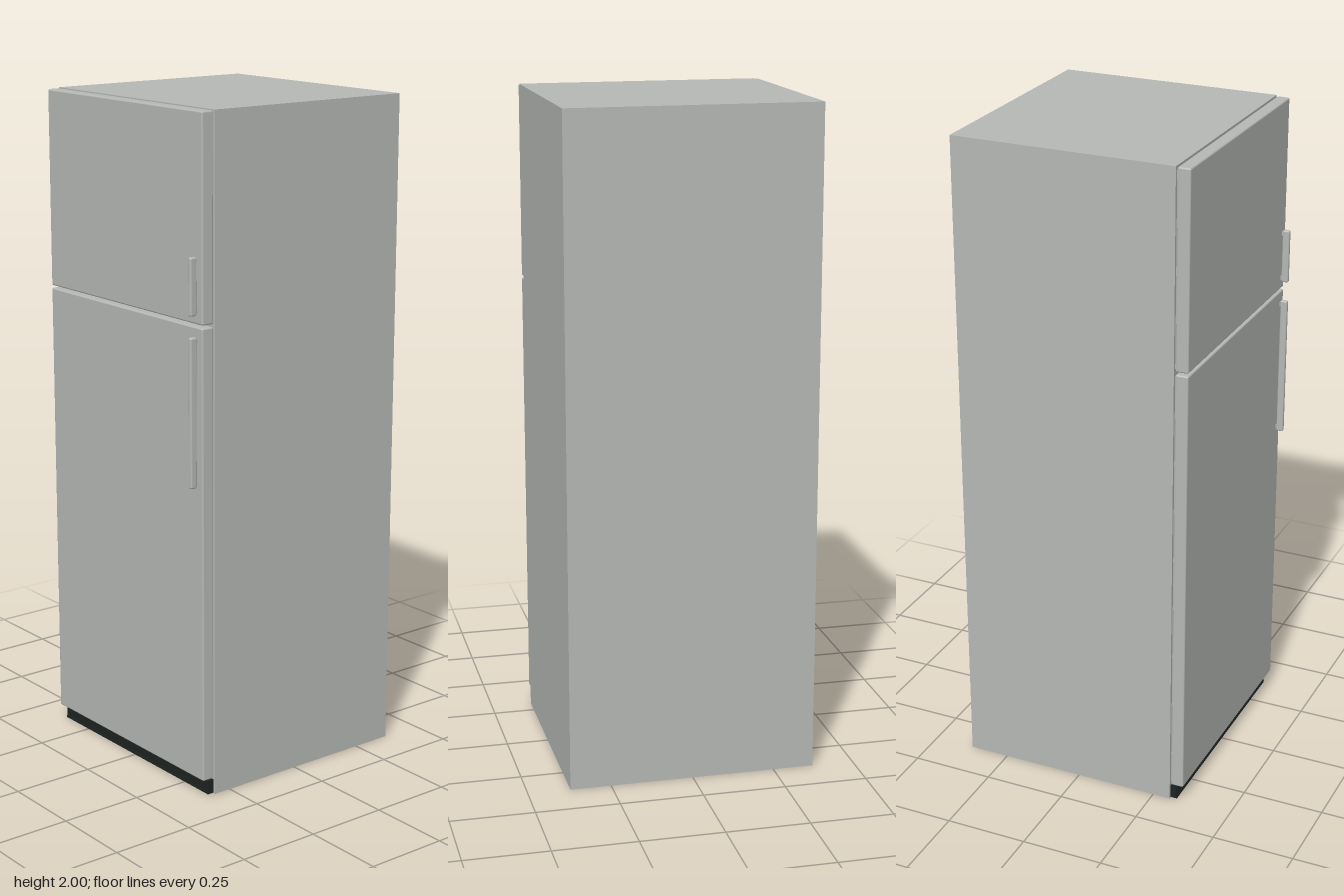
import * as THREE from 'three';
import { RoundedBoxGeometry } from 'three/addons/geometries/RoundedBoxGeometry.js';

export function createModel() {
  const model = new THREE.Group();
  model.name = 'refrigerator';

  const enamel = new THREE.MeshStandardMaterial({ color: 0xb5b8b5 });
  enamel.name = 'grey enamel';
  const black = new THREE.MeshStandardMaterial({ color: 0x1e2423 });
  black.name = 'black plastic';

  // Box given by its minimum and maximum corners, optionally rounded
  function box(name, min, max, material, radius = 0, parent = model) {
    const size = max.map((v, i) => v - min[i]);
    const geometry = radius
      ? new RoundedBoxGeometry(...size, 3, radius)
      : new THREE.BoxGeometry(...size);
    const mesh = new THREE.Mesh(geometry, material);
    mesh.name = name;
    mesh.position.set(...max.map((v, i) => (v + min[i]) / 2));
    parent.add(mesh);
    return mesh;
  }

  // Cabinet
  box('cabinet', [-0.373, 0, -0.373], [0.373, 2, 0.305], enamel);

  // Doors, each with a recessed seal and a slim handle standing off on two mounts
  const doors = [
    { name: 'freezer', y0: 1.41, y1: 1.998, h0: 1.435, h1: 1.6 },
    { name: 'fridge', y0: 0.05, y1: 1.402, h0: 0.94, h1: 1.375 },
  ];
  for (const { name, y0, y1, h0, h1 } of doors) {
    const door = new THREE.Group();
    door.name = `${name}Door`;
    model.add(door);
    box(`${name}Seal`, [-0.364, y0 + 0.007, 0.304], [0.364, y1 - 0.007, 0.312], enamel, 0, door);
    box(`${name}Panel`, [-0.371, y0, 0.308], [0.371, y1, 0.347], enamel, 0.005, door);
    box(`${name}Handle`, [0.337, h0, 0.35], [0.351, h1, 0.372], enamel, 0.005, door);
    for (const y of [h0 + 0.012, h1 - 0.012]) {
      box(`${name}HandleMount`, [0.34, y - 0.006, 0.345], [0.348, y + 0.006, 0.356], enamel, 0, door);
    }
  }

  // Kick grille: back plate, top and bottom rails and a row of upright slats
  const grille = new THREE.Group();
  grille.name = 'kickGrille';
  model.add(grille);
  box('grillePlate', [-0.366, 0.002, 0.304], [0.366, 0.044, 0.315], black, 0, grille);
  box('grilleBottomRail', [-0.366, 0.002, 0.312], [0.366, 0.008, 0.326], black, 0, grille);
  const slats = 50;
  for (let i = 0; i < slats; i++) {
    const x = -0.362 + (0.724 * i) / (slats - 1);
    box('grilleSlat', [x - 0.004, 0.006, 0.312], [x + 0.004, 0.044, 0.325], black, 0, grille);
  }

  return model;
}
